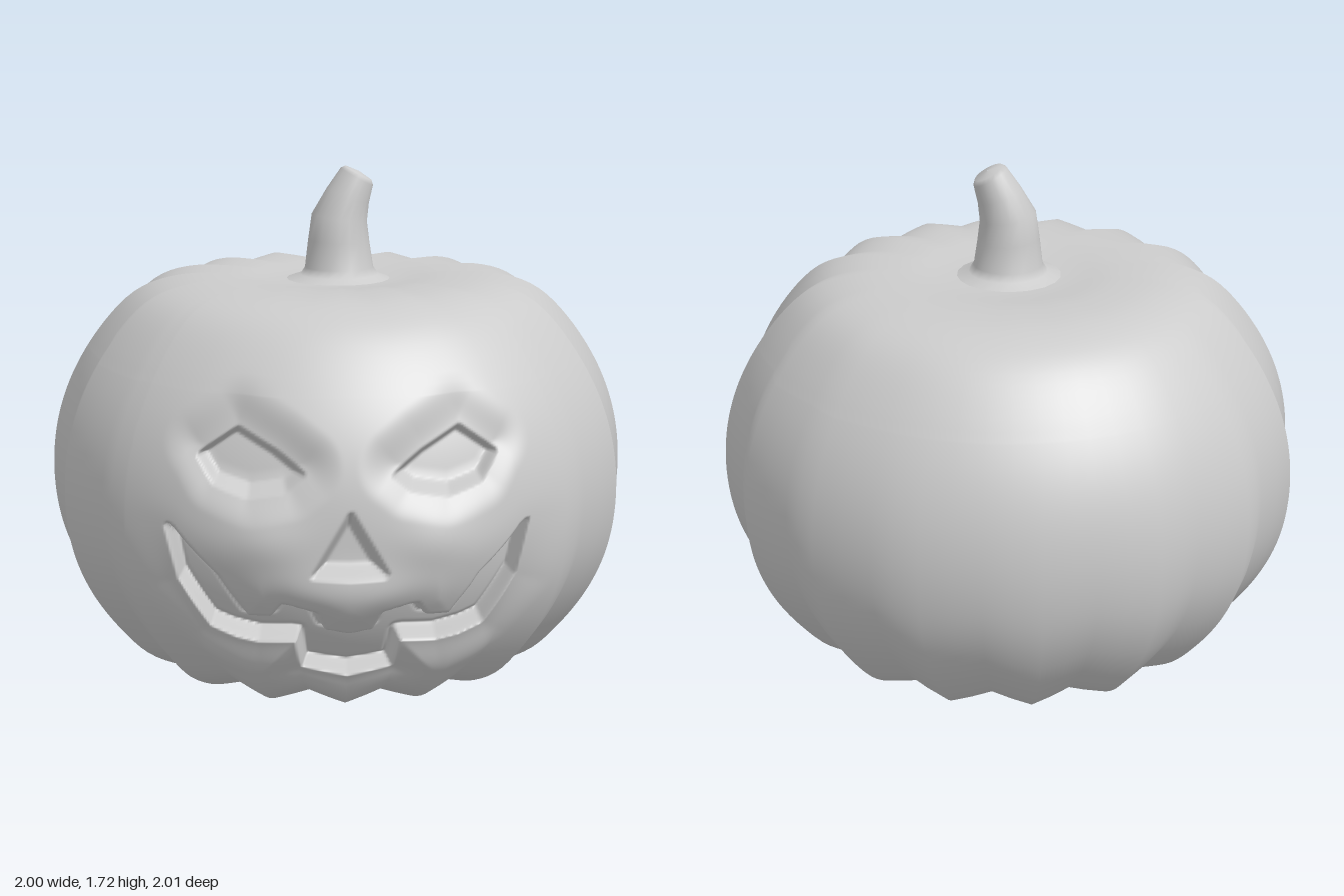
import * as THREE from 'three';

const V2 = (x, y) => new THREE.Vector2(x, y);
const smooth = THREE.MathUtils.smoothstep;
const material = new THREE.MeshStandardMaterial({ color: 0xcccccc });

// Skin a closed tube of rows x cols points; point(row, col) returns [x, y, z]
function skin(rows, cols, point) {
  const pos = [], index = [];
  for (let j = 0; j < rows; j++) {
    for (let i = 0; i < cols; i++) {
      pos.push(...point(j, i));
      if (j === rows - 1) continue;
      const n = (i + 1) % cols;
      const a = j * cols + i, b = j * cols + n, c = a + cols, d = b + cols;
      index.push(a, b, d, a, d, c);
    }
  }
  const g = new THREE.BufferGeometry();
  g.setAttribute('position', new THREE.Float32BufferAttribute(pos, 3));
  g.setIndex(index);
  g.computeVertexNormals();
  return g;
}

// Signed distance to a polygon, positive inside
function inside(poly, x, y) {
  let best = Infinity, isIn = false;
  for (let i = 0, j = poly.length - 1; i < poly.length; j = i++) {
    const [ax, ay] = poly[j], [bx, by] = poly[i];
    const ex = bx - ax, ey = by - ay;
    const t = THREE.MathUtils.clamp(((x - ax) * ex + (y - ay) * ey) / (ex * ex + ey * ey), 0, 1);
    best = Math.min(best, Math.hypot(x - ax - ex * t, y - ay - ey * t));
    if ((ay > y) !== (by > y) && x < ax + (ex * (y - ay)) / ey) isIn = !isIn;
  }
  return isIn ? best : -best;
}

// Face openings, drawn for the +x half and mirrored through |x|
const eye = [[0.15, 0.89], [0.23, 0.95], [0.34, 1.01], [0.46, 0.93], [0.41, 0.86], [0.31, 0.83], [0.2, 0.85]];
const nose = [[-0.11, 0.59], [0.11, 0.59], [0, 0.78]];
const halfMouth = [
  [0, 0.37], [0.08, 0.38], [0.11, 0.45], [0.21, 0.47], [0.24, 0.42], [0.32, 0.42], [0.35, 0.47],
  [0.41, 0.56], [0.58, 0.7], [0.54, 0.52], [0.43, 0.37], [0.28, 0.33], [0.16, 0.33], [0.14, 0.21], [0, 0.2],
];
const mouth = [...halfMouth, ...halfMouth.slice(1, -1).reverse().map(([x, y]) => [-x, y])];

// How far the front surface is pushed back at (x, y)
function carve(x, y) {
  const ax = Math.abs(x);
  if (ax > 0.85 || y < 0.02 || y > 1.25) return 0;
  const e = inside(eye, ax, y), n = inside(nose, x, y), m = inside(mouth, x, y);
  const brow = inside(eye, ax, y - 0.03);
  let d = 0.045 * smooth(brow, -0.13, 0.02) + 0.06 * smooth(e, -0.015, 0.015);
  d += 0.08 * smooth(n, -0.015, 0.025);
  d += 0.14 * smooth(m, -0.012, 0.02);
  // sunken lower jaw, raised cheeks and upper lip
  const jaw = smooth(m, -0.14, 0) * (1 - smooth(y, 0.3, 0.5 + 0.5 * ax));
  d += 0.035 * jaw * (1 - smooth(m, 0, 0.03));
  d -= 0.025 * Math.exp(-(((ax - 0.28) / 0.14) ** 2) - ((y - 0.68) / 0.1) ** 2);
  d -= 0.025 * Math.exp(-((x / 0.3) ** 2) - ((y - 0.52) / 0.09) ** 2) * (1 - smooth(m, -0.02, 0.02));
  return d;
}

function makeBody() {
  // Profile from the hollow underside to the dimple on top
  const curve = new THREE.SplineCurve([
    V2(0.002, 0.1), V2(0.2, 0.11), V2(0.36, 0.07), V2(0.54, 0.015), V2(0.7, 0.07), V2(0.82, 0.19),
    V2(0.92, 0.34), V2(0.98, 0.5), V2(1, 0.68), V2(0.98, 0.86), V2(0.92, 1.03), V2(0.82, 1.19),
    V2(0.7, 1.31), V2(0.56, 1.362), V2(0.38, 1.37), V2(0.2, 1.352), V2(0.002, 1.345),
  ]);
  curve.arcLengthDivisions = 800;
  const profile = curve.getSpacedPoints(400).filter(
    (p, i) => i % 5 === 0 || (p.x > 0.6 && p.y > 0.15 && p.y < 1.12));

  // Fine columns across the face, coarser round the back
  const angles = [];
  for (let deg = -180; deg < 180; deg += Math.abs(deg + 0.01) < 45 ? 0.46875 : 5.625) angles.push(deg * Math.PI / 180);

  const g = skin(profile.length, angles.length, (j, i) => {
    const { x: r, y } = profile[j], a = angles[i];
    const x = r * Math.sin(a), z = r * Math.cos(a);
    return [x, y, z > 0.35 && r > 0.5 ? z - carve(x, y) : z];
  });

  // Sixteen ribs, added after the normals so the shading stays soft
  const p = g.attributes.position;
  for (let k = 0; k < p.count; k++) {
    const a = angles[k % angles.length], prof = profile[Math.floor(k / angles.length)];
    const t = a / (Math.PI / 16);
    const valley = 1 - Math.abs((((t % 2) + 2) % 2) - 1);
    const face = smooth(Math.cos(a), 0.72, 0.9) * smooth(prof.y, 0.1, 0.25) * (1 - smooth(prof.y, 1.1, 1.25));
    const s = 1 - 0.05 * valley * smooth(prof.x, 0.15, 0.55) * (1 - 0.6 * face);
    const top = prof.y > 1.2 ? 0.5 : 1;
    p.setXYZ(k, p.getX(k) * s, 0.68 + (p.getY(k) - 0.68) * (1 + (s - 1) * top), p.getZ(k) * s);
  }
  const mesh = new THREE.Mesh(g, material);
  mesh.name = 'carvedBody';
  return mesh;
}

function makeStem() {
  // Rings: centre x, centre y, radius, sideways tilt
  const rings = [
    [0, 1.34, 0.21, 0], [0.005, 1.365, 0.135, 0], [0.005, 1.39, 0.118, 0], [0.004, 1.48, 0.106, 0.05],
    [0.006, 1.56, 0.096, 0.15], [0.035, 1.635, 0.077, 0.35], [0.066, 1.7, 0.063, 0.5],
    [0.071, 1.712, 0.052, 0.5], [0.074, 1.718, 0.001, 0.5],
  ];
  const sides = 20;
  const g = skin(rings.length, sides, (j, i) => {
    const [cx, cy, r, tilt] = rings[j], a = (i / sides) * Math.PI * 2;
    const u = r * Math.sin(a);
    return [cx + u * Math.cos(tilt), cy - u * Math.sin(tilt), r * Math.cos(a)];
  });
  const mesh = new THREE.Mesh(g, material);
  mesh.name = 'stem';
  return mesh;
}

export function createModel() {
  const group = new THREE.Group();
  group.name = 'carvedPumpkin';
  group.add(makeBody(), makeStem());
  return group;
}
